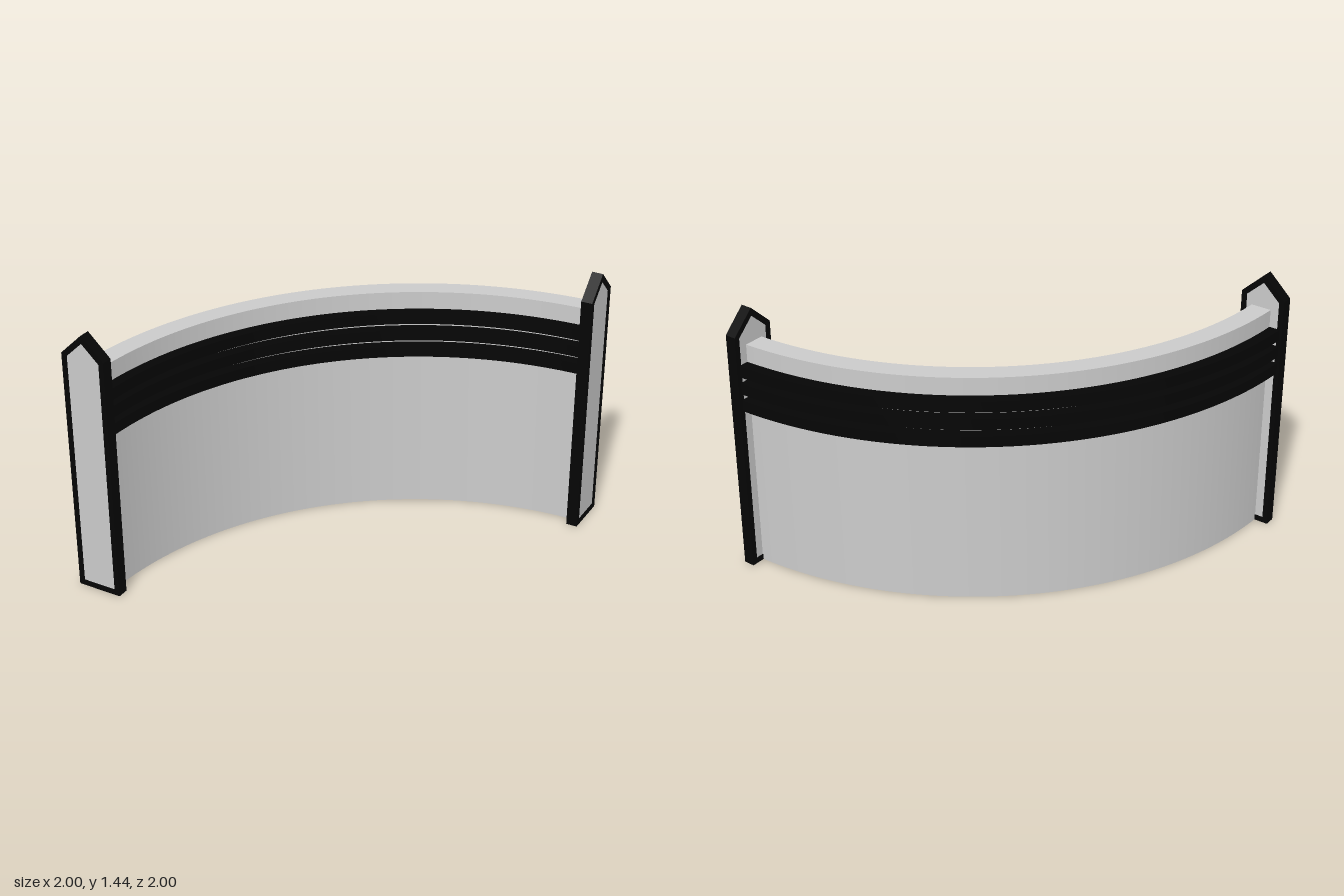
import * as THREE from 'three';
import { toCreasedNormals } from 'three/addons/utils/BufferGeometryUtils.js';

const grey = new THREE.MeshStandardMaterial({ color: 0xcccccc });
const black = new THREE.MeshStandardMaterial({ color: 0x050505 });

function mesh(name, geometry, material) {
  const m = new THREE.Mesh(geometry, material);
  m.name = name;
  return m;
}

// Rectangular section swept through a quarter circle centred on (1, 1); ends are buried in the posts
function arc(name, rIn, rOut, y0, y1, material) {
  const profile = [[rOut, y0], [rOut, y1], [rIn, y1], [rIn, y0], [rOut, y0]]
    .map(([r, y]) => new THREE.Vector2(r, y));
  const trim = 0.016;
  const geo = new THREE.LatheGeometry(profile, 64, Math.PI + trim, Math.PI / 2 - 2 * trim);
  const m = mesh(name, toCreasedNormals(geo, 0.5), material);
  m.position.set(1, 0, 1);
  return m;
}

// Pointed outline of a post, drawn in by a margin
function outline(Type, halfWidth, bottom, shoulder, peak) {
  return new Type([
    [-halfWidth, bottom], [halfWidth, bottom], [halfWidth, shoulder], [0, peak], [-halfWidth, shoulder],
  ].map(([x, y]) => new THREE.Vector2(x, y)));
}

function extrude(shape, z0, z1) {
  const geo = new THREE.ExtrudeGeometry(shape, { depth: z1 - z0, bevelEnabled: false });
  return geo.translate(0, 0, z0);
}

// Post: dark frame with a pale panel showing on both faces
function post(name) {
  const group = new THREE.Group();
  group.name = name;
  const inner = [0.094, 0.03, 1.307, 1.395];
  const frame = outline(THREE.Shape, 0.123, 0, 1.32, 1.437);
  frame.holes.push(outline(THREE.Path, ...inner));
  group.add(
    mesh('postFrame', extrude(frame, 0.94, 1), black),
    mesh('postPanel', extrude(outline(THREE.Shape, ...inner), 0.944, 0.996), grey),
  );
  return group;
}

export function createModel() {
  const model = new THREE.Group();
  model.name = 'curvedWall';

  model.add(arc('wall', 1.815, 1.925, 0, 1.255, grey));

  // Three rails on each side of the wall
  for (const y of [0.91, 1.005, 1.1]) {
    model.add(arc('outerRail', 1.925, 1.985, y, y + 0.06, black));
    model.add(arc('innerRail', 1.755, 1.815, y, y + 0.06, black));
  }

  // End posts
  const frontPost = post('frontPost');
  frontPost.position.x = -0.877;
  const sidePost = post('sidePost');
  sidePost.rotation.y = Math.PI / 2;
  sidePost.position.z = -0.877;
  model.add(frontPost, sidePost);

  return model;
}
